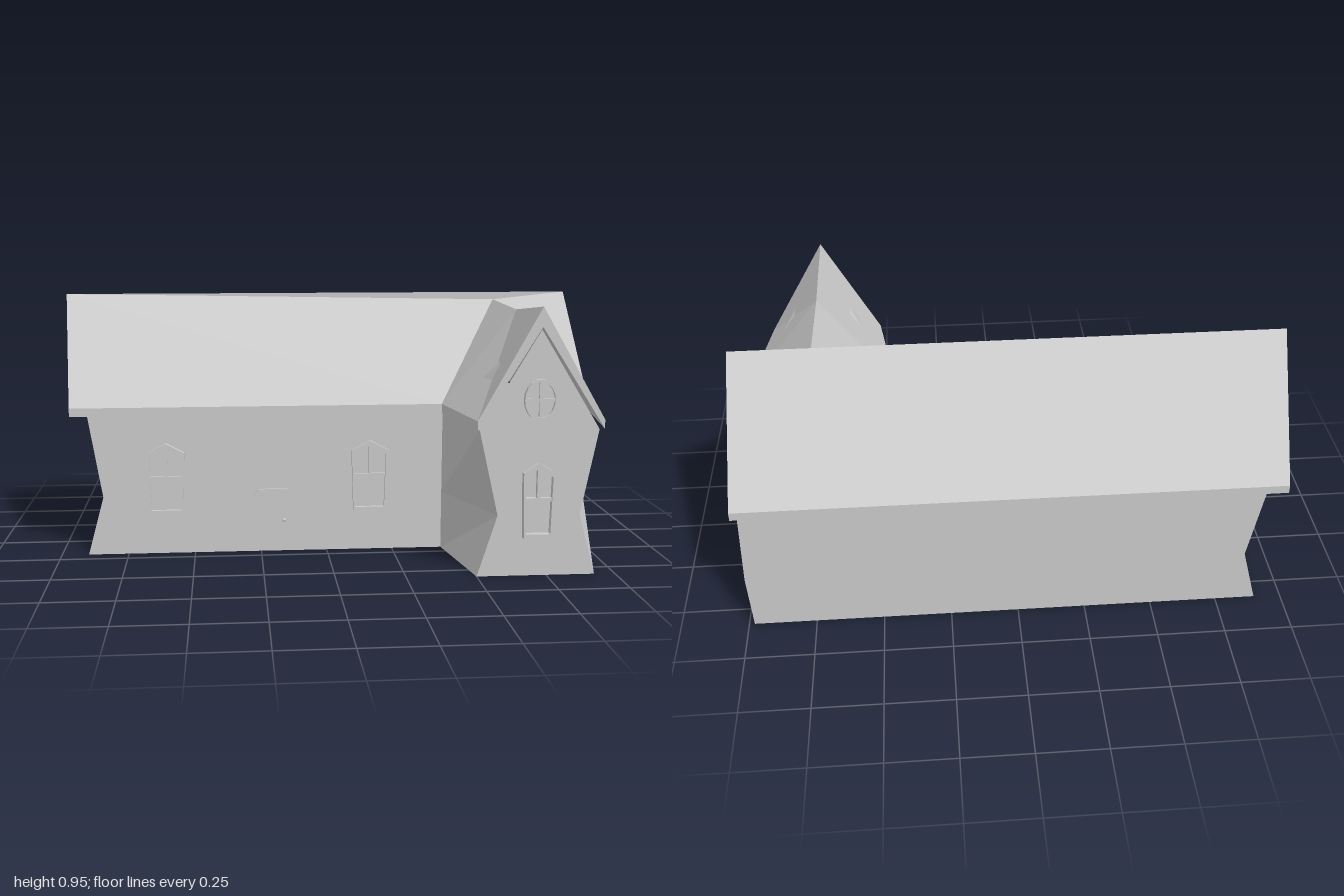
import * as THREE from 'three';

const material = new THREE.MeshStandardMaterial({
  color: 0xcccccc, flatShading: true, side: THREE.DoubleSide,
});

function add(parent, geometry, name, x = 0, y = 0, z = 0) {
  const mesh = new THREE.Mesh(geometry, material);
  mesh.name = name;
  mesh.position.set(x, y, z);
  parent.add(mesh);
  return mesh;
}

// Flat polygons (lists of corner points) fanned into triangles
function facesGeometry(faces) {
  const out = [];
  for (const f of faces) {
    for (let i = 1; i < f.length - 1; i++) out.push(...f[0], ...f[i], ...f[i + 1]);
  }
  const g = new THREE.BufferGeometry();
  g.setAttribute('position', new THREE.Float32BufferAttribute(out, 3));
  g.computeVertexNormals();
  return g;
}

// Walls: each corner has an x at ground, waist and eaves, plus a z
function wallsGeometry() {
  const heights = [0, 0.22, 0.525];
  const corners = [
    [-0.9, -0.84, -0.89, 0.19], [0.44, 0.44, 0.44, 0.19],
    [0.5, 0.57, 0.5, 0.58], [0.925, 0.865, 0.925, 0.58],
    [0.98, 0.99, 0.98, 0.19], [0.98, 0.99, 0.98, -0.58],
    [-0.9, -0.84, -0.89, -0.58],
  ];
  const at = (c, level) => {
    const k = corners[c % corners.length];
    return [k[level], heights[level], k[3]];
  };
  const faces = [];
  for (let c = 0; c < corners.length; c++) {
    for (let l = 0; l < 2; l++) faces.push([at(c, l), at(c + 1, l), at(c + 1, l + 1), at(c, l + 1)]);
  }
  // Gables: wing, right end, left end
  faces.push([at(2, 2), at(3, 2), [0.71, 0.875, 0.58]]);
  faces.push([at(4, 2), at(5, 2), [0.98, 0.883, -0.2]]);
  faces.push([at(6, 2), at(0, 2), [-0.91, 0.883, -0.2]]);
  return facesGeometry(faces);
}

// Roof: upper skin, a matching underside and a rim joining the two
function roofGeometry() {
  const p = {
    ridgeL: [-1, 0.955, -0.2], ridgeM: [0.71, 0.925, -0.2], ridgeR: [1, 0.955, -0.2],
    frontL: [-0.955, 0.56, 0.2], valleyL: [0.435, 0.56, 0.2], valleyR: [1, 0.56, 0.2],
    backL: [-0.955, 0.56, -0.61], backR: [1, 0.56, -0.61],
    wingMid: [0.71, 0.915, 0.2], wingTip: [0.71, 0.955, 0.592],
    wingL: [0.49, 0.56, 0.592], wingR: [0.94, 0.56, 0.592],
  };
  const skin = [
    ['ridgeL', 'ridgeM', 'ridgeR', 'backR', 'backL'],
    ['ridgeL', 'frontL', 'valleyL', 'ridgeM'],
    ['ridgeR', 'ridgeM', 'valleyR'],
    ['ridgeM', 'valleyL', 'wingMid'], ['ridgeM', 'wingMid', 'valleyR'],
    ['wingMid', 'valleyL', 'wingL', 'wingTip'], ['wingMid', 'wingTip', 'wingR', 'valleyR'],
  ];
  const rim = ['ridgeL', 'frontL', 'valleyL', 'wingL', 'wingTip', 'wingR', 'valleyR', 'ridgeR', 'backR', 'backL'];
  const under = (n) => [p[n][0], p[n][1] - (p[n][1] > 0.8 ? 0.07 : 0.032), p[n][2]];
  const faces = [];
  for (const f of skin) {
    faces.push(f.map((n) => p[n]));
    faces.push(f.map(under).reverse());
  }
  rim.forEach((n, i) => {
    const m = rim[(i + 1) % rim.length];
    faces.push([p[n], under(n), under(m), p[m]]);
  });
  return facesGeometry(faces);
}

const shapeOf = (pts) => new THREE.Shape(pts.map(([x, y]) => new THREE.Vector2(x, y)));

// Frame extruded from an outline with a similar, smaller opening
function frameGeometry(pts, centreY, inset, depth) {
  const shape = shapeOf(pts);
  shape.holes.push(shapeOf(pts.map(([x, y]) => [x * inset, centreY + (y - centreY) * inset])));
  return new THREE.ExtrudeGeometry(shape, { depth, bevelEnabled: false });
}

// Pointed window with a cross bar and an upper mullion
function pointedWindow(parent, name, x, y, z, half, depth) {
  const g = new THREE.Group();
  g.name = name;
  g.position.set(x, y, z);
  const pts = [[-half * 0.89, 0], [half * 0.89, 0], [half, 0.235], [0, 0.272], [-half, 0.235]];
  add(g, frameGeometry(pts, 0.13, 0.87, depth), 'windowFrame');
  add(g, new THREE.ShapeGeometry(shapeOf(pts)), 'windowPane', 0, 0, 0.004);
  const bar = depth * 0.75;
  add(g, new THREE.BoxGeometry(half * 1.8, 0.012, bar), 'windowCrossBar', 0, 0.14, bar / 2);
  add(g, new THREE.BoxGeometry(0.012, 0.115, bar), 'windowMullion', 0, 0.2, bar / 2);
  parent.add(g);
}

// Oval gable window with a cross of bars
function ovalWindow(parent, x, y, z) {
  const g = new THREE.Group();
  g.name = 'gableWindow';
  g.position.set(x, y, z);
  const pts = [];
  for (let i = 0; i < 20; i++) {
    const a = (i / 20) * Math.PI * 2;
    pts.push([Math.cos(a) * 0.058, Math.sin(a) * 0.073]);
  }
  add(g, frameGeometry(pts, 0, 0.86, 0.018), 'gableWindowFrame');
  add(g, new THREE.ShapeGeometry(shapeOf(pts)), 'gableWindowPane', 0, 0, 0.004);
  add(g, new THREE.BoxGeometry(0.105, 0.01, 0.012), 'gableWindowCrossBar', 0, 0, 0.006);
  add(g, new THREE.BoxGeometry(0.01, 0.13, 0.012), 'gableWindowMullion', 0, 0, 0.006);
  parent.add(g);
}

// Door with clipped upper corners and a small knob
function door(parent, x, z) {
  const g = new THREE.Group();
  g.name = 'door';
  g.position.set(x, 0, z);
  const pts = [[-0.058, 0.004], [0.058, 0.004], [0.073, 0.21], [0.055, 0.242], [-0.055, 0.242], [-0.073, 0.21]];
  add(g, new THREE.ExtrudeGeometry(shapeOf(pts), { depth: 0.012, bevelEnabled: false }), 'doorPanel', 0, 0, -0.004);
  add(g, new THREE.SphereGeometry(0.007, 8, 6), 'doorKnob', 0.042, 0.122, 0.01);
  parent.add(g);
}

export function createModel() {
  const house = new THREE.Group();
  house.name = 'house';
  add(house, wallsGeometry(), 'walls');
  add(house, roofGeometry(), 'roof');
  for (const x of [-0.605, 0.163]) pointedWindow(house, 'frontWindow', x, 0.152, 0.19, 0.07, 0.018);
  pointedWindow(house, 'wingWindow', 0.71, 0.14, 0.58, 0.056, 0.028);
  ovalWindow(house, 0.71, 0.632, 0.58);
  door(house, -0.205, 0.19);
  return house;
}
